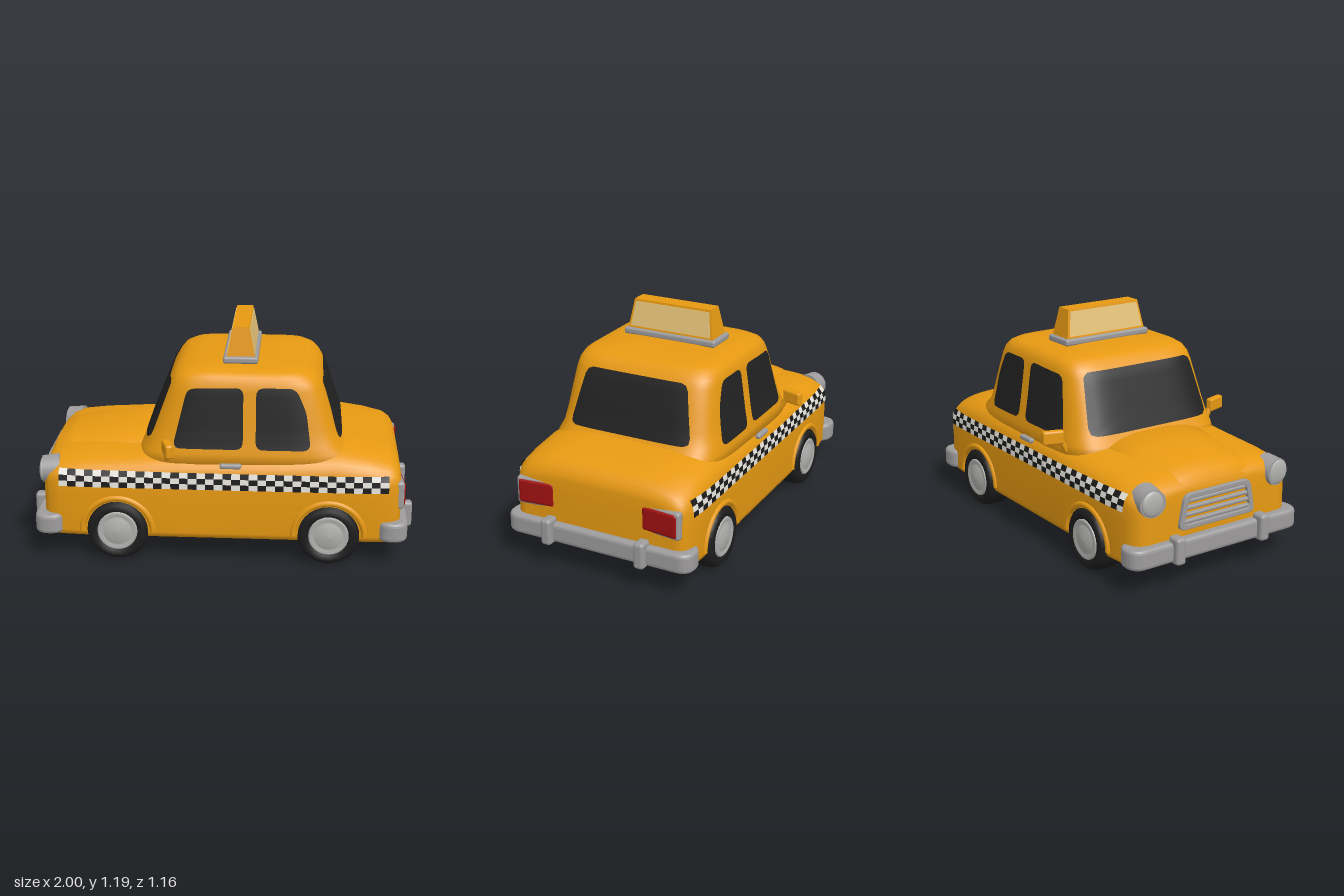
import * as THREE from 'three';
import { RoundedBoxGeometry } from 'three/addons/geometries/RoundedBoxGeometry.js';

const mat = (name, color, side = THREE.FrontSide) => {
  const m = new THREE.MeshStandardMaterial({ color, side });
  m.name = name;
  return m;
};

// Linear lookup in a table whose column `key` rises
function lookup(table, key, v) {
  let i = 0;
  while (i < table.length - 2 && v > table[i + 1][key]) i++;
  const f = THREE.MathUtils.clamp((v - table[i][key]) / (table[i + 1][key] - table[i][key]), 0, 1);
  return table[i].map((a, k) => a + (table[i + 1][k] - a) * f);
}

// Skin closed rings of equal length and close both ends
function loft(rings) {
  const n = rings[0].length, pos = [], idx = [];
  rings.forEach(r => r.forEach(p => pos.push(...p)));
  for (let i = 0; i < rings.length - 1; i++) for (let j = 0; j < n; j++) {
    const a = i * n + j, b = i * n + (j + 1) % n;
    idx.push(a, b, a + n, b, b + n, a + n);
  }
  [0, rings.length - 1].forEach((r, end) => {
    const c = pos.length / 3;
    pos.push(...[0, 1, 2].map(k => rings[r].reduce((s, p) => s + p[k], 0) / n));
    for (let j = 0; j < n; j++) {
      const a = r * n + j, b = r * n + (j + 1) % n;
      end ? idx.push(c, a, b) : idx.push(c, b, a);
    }
  });
  return toGeometry(pos, idx);
}

function toGeometry(pos, idx) {
  const g = new THREE.BufferGeometry();
  g.setAttribute('position', new THREE.Float32BufferAttribute(pos, 3));
  g.setIndex(idx);
  g.computeVertexNormals();
  return g;
}

// Polygon with rounded corners
function rounded(corners, r, Type = THREE.Shape) {
  const s = new Type(), v = corners.map(c => new THREE.Vector2(...c)), n = v.length;
  v.forEach((p, i) => {
    const toward = q => p.clone().add(q.clone().sub(p).setLength(r));
    const a = toward(v[(i + n - 1) % n]), b = toward(v[(i + 1) % n]);
    i ? s.lineTo(a.x, a.y) : s.moveTo(a.x, a.y);
    s.quadraticCurveTo(p.x, p.y, b.x, b.y);
  });
  s.closePath();
  return s;
}

// Fill an outline with rings and press it onto a surface
function patch(shape, project) {
  const pts = shape.getSpacedPoints(64).slice(0, 64), n = pts.length, K = 8, pos = [], idx = [];
  const c = pts.reduce((s, p) => s.add(p), new THREE.Vector2()).divideScalar(n);
  for (let k = 0; k <= K; k++) pts.forEach(p => pos.push(...project(...c.clone().lerp(p, k / K).toArray())));
  for (let k = 0; k < K; k++) for (let j = 0; j < n; j++) {
    const a = k * n + j, b = k * n + (j + 1) % n;
    if (k) idx.push(a, a + n, b);
    idx.push(b, a + n, b + n);
  }
  return toGeometry(pos, idx);
}

// Box narrowing towards the top
function taperedBox(bottomX, bottomZ, topX, topZ, y0, y1) {
  const g = new THREE.BoxGeometry(2, 2, 2), p = g.attributes.position;
  for (let i = 0; i < p.count; i++) {
    const up = p.getY(i) > 0;
    p.setXYZ(i, p.getX(i) * (up ? topX : bottomX), up ? y1 : y0, p.getZ(i) * (up ? topZ : bottomZ));
  }
  g.computeVertexNormals();
  return g;
}

// Body stations: x, half width, top height
const BODY = [[-.92, .41, .47], [-.91, .445, .5], [-.885, .472, .525], [-.83, .492, .545], [-.7, .5, .56], [-.4, .5, .58],
  [-.2, .5, .6], [.3, .5, .61], [.6, .5, .622], [.75, .5, .597], [.86, .492, .568], [.9, .475, .54], [.92, .455, .505], [.927, .42, .475]];
const HOOD = [[-.915, .2, .5], [-.89, .25, .545], [-.8, .275, .58], [-.6, .315, .603], [-.36, .37, .62]];
// Cabin levels: height, front x, rear x, half width
const CABIN = [[.5, -.46, .71, .47], [.58, -.425, .67, .462], [.62, -.398, .622, .452], [.7, -.365, .593, .438], [.8, -.325, .562, .424],
  [.9, -.285, .527, .41], [.94, -.263, .505, .402], [.97, -.238, .478, .385], [.99, -.2, .44, .355], [1.003, -.13, .375, .29], [1.01, 0, .25, .16]];
const BASE = .36;

function bodySection([x, w, top], base, floor, n) {
  const half = [], M = 12;
  for (let k = 0; k <= M; k++) {
    const a = k / M * Math.PI / 2;
    half.push([x, base + (top - base) * Math.max(0, Math.cos(a)) ** (2 / n), w * Math.sin(a) ** (2 / n)]);
  }
  half.push([x, floor + .03, w], [x, floor, .975 * w], [x, floor, .9 * w]);
  return [...half, ...half.slice(1).reverse().map(([a, b, c]) => [a, b, -c])];
}
const bodyZ = (x, y) => {
  const [, w, top] = lookup(BODY, 0, x);
  return w * (1 - Math.max(0, (y - BASE) / (top - BASE)) ** 4) ** .25;
};
// Cabin outline at one height is a superellipse of power 6
const cabinAt = y => {
  const [, f, r, w] = lookup(CABIN, 0, y);
  return { cx: (f + r) / 2, a: (r - f) / 2, w };
};
const bulge = t => (1 - Math.min(1, Math.abs(t)) ** 6) ** (1 / 6);
const cabinZ = (x, y) => { const c = cabinAt(y); return c.w * bulge((x - c.cx) / c.a); };
const cabinX = (z, y, s) => { const c = cabinAt(y); return c.cx + s * c.a * bulge(z / c.w); };

export function createModel() {
  const car = new THREE.Group();
  const paint = mat('orange paint', 0xe89a12), chrome = mat('grey trim', 0x9d9b9b), hubGrey = mat('hub grey', 0xb0b0ae);
  const glass = mat('dark glass', 0x222222, THREE.DoubleSide), rubber = mat('tyre black', 0x1d1d1d);
  const white = mat('check white', 0xe8e6de, THREE.DoubleSide), black = mat('check black', 0x1a1a1a, THREE.DoubleSide);
  const red = mat('tail red', 0xa01010), cream = mat('sign cream', 0xe6c47a);
  const add = (name, geo, m, x = 0, y = 0, z = 0) => {
    const mesh = new THREE.Mesh(geo, m);
    mesh.name = name;
    mesh.position.set(x, y, z);
    car.add(mesh);
    return mesh;
  };

  // Shell
  add('lowerBody', loft(BODY.map(s => bodySection(s, BASE, .13, 4))), paint);
  add('hood', loft(HOOD.map(s => bodySection(s, .47, .4, 2.6))), paint);
  add('cabin', loft(CABIN.map(([y, f, r, w]) => Array.from({ length: 72 }, (_, j) => {
    const t = j / 72 * Math.PI * 2, pw = v => Math.sign(v) * Math.abs(v) ** (1 / 3);
    return [(f + r) / 2 + (r - f) / 2 * pw(Math.sin(t)), y, w * pw(Math.cos(t))];
  }))), paint);

  // Windscreen and rear window, as z and y
  add('windscreen', patch(rounded([[-.375, .63], [.375, .63], [.335, .935], [-.335, .935]], .04),
    (z, y) => [cabinX(z, y, -1) - .007, y, z]), glass);
  add('rearWindow', patch(rounded([[-.345, .637], [.345, .637], [.285, .93], [-.285, .93]], .04),
    (z, y) => [cabinX(z, y, 1) + .007, y, z]), glass);

  const frontPane = rounded([[-.245, .61], [.115, .61], [.115, .925], [-.17, .915]], .04);
  const rearPane = rounded([[.18, .61], [.46, .61], [.435, .8], [.38, .925], [.18, .925]], .04);
  const COLS = 38, ROWS = 3, X0 = -.83, X1 = .86, Y0 = .405, Y1 = .492;

  // Tyre and hub profiles: radius, outward
  const lathe = pts => new THREE.LatheGeometry(pts.map(p => new THREE.Vector2(...p)), 28);
  const tyreGeo = lathe([[0, -.075], [.14, -.075], [.158, -.06], [.165, -.03], [.165, .03], [.158, .06], [.14, .077], [.11, .077], [.1, .06], [0, .06]]);
  const hubGeo = lathe([[.104, .06], [.104, .075], [.096, .081], [.082, .074], [.07, .076], [.045, .086], [0, .09]]);

  for (const s of [1, -1]) {
    const side = s > 0 ? 'left' : 'right';
    add(side + 'FrontWindow', patch(frontPane, (x, y) => [x, y, s * (cabinZ(x, y) + .007)]), glass);
    add(side + 'RearWindow', patch(rearPane, (x, y) => [x, y, s * (cabinZ(x, y) + .007)]), glass);

    // Chequered band, one colour group per cell
    const pos = [], idx = [], stripe = [];
    for (let c = 0; c < COLS; c++) for (let r = 0; r < ROWS; r++) {
      const b = pos.length / 3;
      for (const [i, j] of [[0, 0], [1, 0], [1, 1], [0, 1]]) {
        const x = X0 + (X1 - X0) * (c + i) / COLS, y = Y0 + (Y1 - Y0) * (r + j) / ROWS;
        pos.push(x, y, s * (bodyZ(x, y) + .007));
      }
      stripe.push([idx.length, (c + r) % 2]);
      s > 0 ? idx.push(b, b + 1, b + 2, b, b + 2, b + 3) : idx.push(b, b + 2, b + 1, b, b + 3, b + 2);
    }
    const band = toGeometry(pos, idx);
    stripe.forEach(([start, m]) => band.addGroup(start, 6, m));
    add(side + 'CheckBand', band, [white, black]);

    // Wheels and arches
    for (const [end, x] of [['Front', -.53], ['Rear', .56]]) {
      for (const [part, geo, m] of [['Tyre', tyreGeo, rubber], ['Hub', hubGeo, hubGrey]])
        add(side + end + part, geo, m, x, .167, s * .44).rotation.x = s * Math.PI / 2;
      add(side + end + 'Arch', new THREE.TorusGeometry(.183, .016, 8, 28, Math.PI), paint, x, .16, s * .497);
    }

    // Handle, mirror and lamps
    add(side + 'DoorHandle', new RoundedBoxGeometry(.11, .026, .03, 2, .01), chrome, .055, .53, s * .485);
    add(side + 'Mirror', new RoundedBoxGeometry(.04, .072, .112, 3, .012), paint, -.262, .63, s * .523).rotation.y = s * .3;
    add(side + 'MirrorArm', new RoundedBoxGeometry(.03, .09, .028, 2, .01), paint, -.27, .582, s * .467).rotation.x = s * .5;
    const lamp = add(side + 'HeadlightRim', new THREE.CylinderGeometry(.07, .08, .09, 28), chrome, -.885, .455, s * .385);
    lamp.rotation.set(0, s * .15, Math.PI / 2);
    const lens = add(side + 'HeadlightLens', new THREE.SphereGeometry(.066, 24, 16), hubGrey, -.926, .455, s * .388);
    lens.scale.x = .28;
    for (const [part, h, w, x, m] of [['Frame', .148, .225, .91, chrome], ['Lens', .128, .2, .918, red]])
      add(side + 'TailLight' + part, new RoundedBoxGeometry(.045, h, w, 3, .016), m, x, .378, s * .35).rotation.y = s * .1;
  }

  // Bumpers with two uprights each
  const bumperGeo = new THREE.ExtrudeGeometry(rounded([[-.945, -.505], [-.83, -.505], [-.83, .505], [-.945, .505]], .055),
    { depth: .065, bevelThickness: .02, bevelSize: .02, bevelSegments: 3, curveSegments: 8 }).rotateX(-Math.PI / 2);
  for (const [end, s] of [['front', -1], ['rear', 1]]) {
    add(end + 'Bumper', bumperGeo, chrome, 0, .16, 0).rotation.y = s > 0 ? Math.PI : 0;
    for (const z of [-.265, .265])
      add(end + 'BumperUpright', new RoundedBoxGeometry(.08, .14, .058, 3, .018), chrome, s * .96, .202, z);
  }

  // Grille frame and bars
  const frame = rounded([[-.235, .285], [.235, .285], [.2, .46], [-.2, .46]], .035);
  frame.holes.push(rounded([[-.213, .303], [.213, .303], [.182, .442], [-.182, .442]], .03, THREE.Path));
  add('grilleFrame', new THREE.ExtrudeGeometry(frame, { depth: .03, bevelThickness: .005, bevelSize: .004, bevelSegments: 2 })
    .rotateY(-Math.PI / 2), chrome, -.905);
  for (let i = 0; i < 4; i++)
    add('grilleBar', new RoundedBoxGeometry(.03, .02, .425 - i * .015, 2, .008), chrome, -.922, .32 + i * .035, 0);

  // Roof sign
  add('signBase', new RoundedBoxGeometry(.18, .036, .53, 3, .012), chrome, .092, 1.022, 0);
  add('signBody', taperedBox(.073, .247, .043, .222, 1.035, 1.19), paint, .092);
  add('signPanels', taperedBox(.0735, .232, .0485, .213, 1.05, 1.178), cream, .092);
  return car;
}
